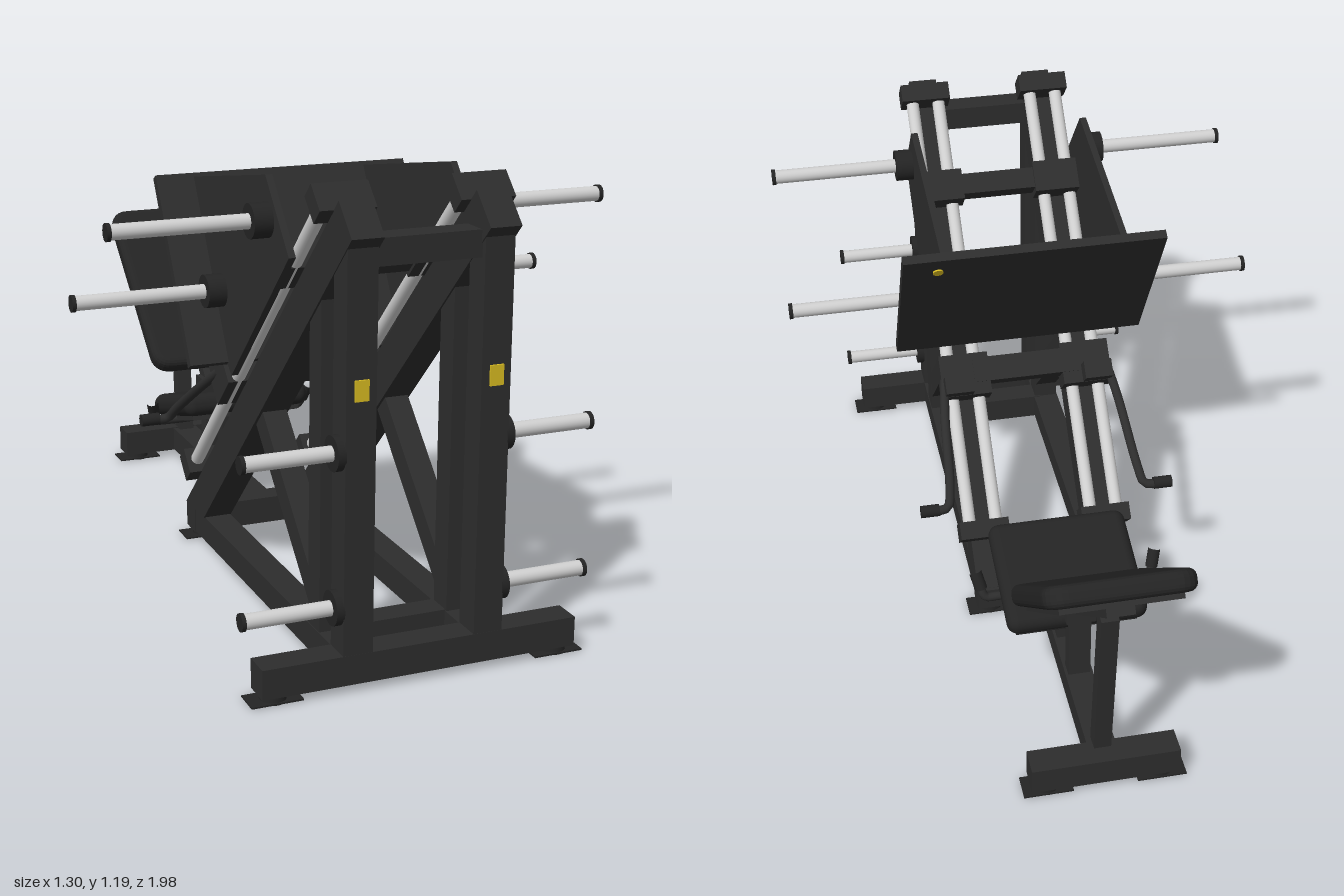
import * as THREE from 'three';
import { RoundedBoxGeometry } from 'three/addons/geometries/RoundedBoxGeometry.js';

const mat = (name, color) => {
  const m = new THREE.MeshStandardMaterial({ color });
  m.name = name;
  return m;
};

export function createModel() {
  const root = new THREE.Group();
  root.name = 'legPressMachine';
  const frame = mat('frameCharcoal', 0x2d2d2d);
  const dark = mat('paddingBlack', 0x242424);
  const chrome = mat('chromeSilver', 0xcfcfcf);
  const yellow = mat('labelYellow', 0xd9bc22);

  const add = (name, geo, m, x = 0, y = 0, z = 0, parent = root) => {
    const mesh = new THREE.Mesh(geo, m);
    mesh.name = name;
    mesh.position.set(x, y, z);
    parent.add(mesh);
    return mesh;
  };
  const box = (name, w, h, d, x, y, z, m = frame, parent = root) =>
    add(name, new THREE.BoxGeometry(w, h, d), m, x, y, z, parent);
  // Cylinder lying along x, from x0 to x1
  const rodX = (name, r, x0, x1, y, z, m) =>
    add(name, new THREE.CylinderGeometry(r, r, Math.abs(x1 - x0), 24).rotateZ(Math.PI / 2), m, (x0 + x1) / 2, y, z);
  // Straight beam in the side plane, between [z, y] points
  const beam = (name, w, t, a, b, x = 0, m = frame) => {
    const dz = b[0] - a[0], dy = b[1] - a[1];
    const mesh = box(name, w, t, Math.hypot(dz, dy), x, (a[1] + b[1]) / 2, (a[0] + b[0]) / 2, m);
    mesh.rotation.x = -Math.atan2(dy, dz);
    return mesh;
  };
  // Side profile of [z, y] points, extruded across x
  const profile = (name, pts, w, x, m = frame) => {
    const shape = new THREE.Shape(pts.map(p => new THREE.Vector2(p[0], p[1])));
    const geo = new THREE.ExtrudeGeometry(shape, { depth: w, bevelEnabled: false });
    geo.translate(0, 0, -w / 2).rotateY(-Math.PI / 2);
    return add(name, geo, m, x);
  };
  const tube = (name, pts, r, m = frame) => {
    const curve = new THREE.CatmullRomCurve3(pts.map(p => new THREE.Vector3(...p)), false, 'centripetal');
    return add(name, new THREE.TubeGeometry(curve, 28, r, 12), m);
  };
  // Chrome weight peg with collar and end cap
  const peg = (s, x0, xc, x1, y, z) => {
    rodX('pegCollar', 0.043, s * x0, s * xc, y, z, dark);
    rodX('weightPeg', 0.019, s * xc, s * (x1 - 0.01), y, z, chrome);
    rodX('pegCap', 0.022, s * (x1 - 0.01), s * x1, y, z, dark);
  };
  const foot = (x, z) => {
    add('foot', new THREE.CylinderGeometry(0.03, 0.034, 0.022, 20), dark, x, 0.011, z);
    box('footFlange', 0.13, 0.004, 0.07, x, 0.004, z, dark);
  };

  // Base frame
  box('frontBaseBar', 0.82, 0.075, 0.075, 0, 0.058, 0.928);
  box('innerBaseBar', 0.3, 0.075, 0.07, 0, 0.058, 0.775);
  box('middleBaseBar', 0.42, 0.075, 0.07, 0, 0.058, -0.12);
  box('rearBaseBar', 0.39, 0.075, 0.075, 0, 0.058, -0.832);
  box('centreBaseRail', 0.075, 0.07, 0.66, 0, 0.058, -0.475);
  box('topCrossBar', 0.28, 0.065, 0.07, 0, 1.05, 0.915);

  // Sloped frame: local z runs up the rails, local y away from them
  const slope = new THREE.Group();
  slope.name = 'slopedGuides';
  slope.rotation.x = -Math.PI / 4;
  root.add(slope);

  for (const s of [-1, 1]) {
    const x = s * 0.17;
    box('sideBaseRail', 0.075, 0.07, 1.0, x, 0.058, 0.4);
    profile('frontPost', [[0.89, 0.09], [0.965, 0.09], [0.965, 1.07], [0.89, 1.0]], 0.075, x);
    profile('innerPost', [[0.745, 0.03], [0.815, 0.03], [0.815, 0.93], [0.745, 0.86]], 0.07, x);
    profile('slopedRail', [[0.918, 1.167], [-0.16, 0.09], [-0.01, 0.09], [0.991, 1.093]], 0.08, x);
    beam('diagonalBrace', 0.065, 0.065, [0.765, 0.165], [0.39, 0.53], x);
    box('postLabel', 0.035, 0.05, 0.006, x, 0.74, 0.967, yellow);
    foot(s * 0.37, 0.928);
    foot(s * 0.17, -0.12);
    foot(s * 0.15, -0.832);
    for (const y of [0.205, 0.585]) peg(s, 0.205, 0.225, 0.45, y, 0.925);

    // Twin guide rods with end blocks and carriage bearings
    for (const off of [-0.038, 0.038]) {
      const rod = add('guideRod', new THREE.CylinderGeometry(0.018, 0.018, 1.29, 20), chrome,
        s * 0.175 + off, 0.215, 0.768, slope);
      rod.rotation.x = Math.PI / 2;
    }
    box('upperRodBlock', 0.14, 0.075, 0.05, s * 0.175, 0.212, 1.414, frame, slope);
    box('lowerRodBlock', 0.14, 0.075, 0.05, s * 0.175, 0.212, 0.121, frame, slope);
    box('upperBearing', 0.14, 0.075, 0.09, s * 0.175, 0.235, 1.121, frame, slope);
    box('lowerBearing', 0.14, 0.08, 0.12, s * 0.175, 0.238, 0.56, frame, slope);
    box('handleMount', 0.08, 0.06, 0.05, s * 0.2, 0.296, 0.526, frame, slope);

    // Carriage side plate, pegs and handle
    profile('carriageSidePlate', [[0.73, 1.0], [0.58, 1.17], [0.05, 1.075], [0.305, 0.64], [0.34, 0.61]], 0.018, s * 0.243);
    peg(s, 0.25, 0.3, 0.65, 1.065, 0.595);
    peg(s, 0.25, 0.3, 0.65, 0.82, 0.272);
    tube('carriageHandle', [[s * 0.235, 0.58, 0.2], [s * 0.25, 0.52, 0.11], [s * 0.268, 0.4, -0.07],
      [s * 0.28, 0.367, -0.105], [s * 0.31, 0.362, -0.11], [s * 0.35, 0.366, -0.11]], 0.013);
    rodX('carriageGrip', 0.017, s * 0.305, s * 0.357, 0.365, -0.11, dark);

    // Seat grab handle
    tube('seatHandle', [[0, 0.27, -0.375], [s * 0.19, 0.265, -0.38], [s * 0.225, 0.268, -0.38],
      [s * 0.237, 0.295, -0.37], [s * 0.246, 0.325, -0.358]], 0.012);
    tube('seatGrip', [[s * 0.235, 0.29, -0.372], [s * 0.247, 0.335, -0.352]], 0.017, dark);
  }

  // Carriage cross bars and foot plate
  box('upperCarriageBar', 0.3, 0.06, 0.06, 0, 0.235, 1.121, frame, slope);
  box('lowerCarriageBar', 0.3, 0.06, 0.07, 0, 0.25, 0.57, frame, slope);
  const plate = beam('footPlate', 0.71, 0.025, [0.31, 0.635], [0.047, 1.08]);
  add('footPlateLabel', new THREE.CylinderGeometry(0.014, 0.014, 0.006, 20), yellow, 0.26, 0.0135, 0.2, plate);

  // Seat
  const seat = add('seatPad', new RoundedBoxGeometry(0.38, 0.065, 0.335, 5, 0.03), dark, 0, 0.312, -0.37);
  seat.rotation.x = -0.28;
  const board = box('seatBoard', 0.33, 0.014, 0.29, 0, 0.274, -0.365);
  board.rotation.x = -0.28;
  box('seatFrontPost', 0.06, 0.18, 0.045, 0, 0.18, -0.37);
  box('seatRearPost', 0.06, 0.24, 0.042, 0, 0.21, -0.52);
  box('hingeBlock', 0.08, 0.05, 0.065, 0, 0.315, -0.525);

  // Backrest with rounded outline
  const w = 0.163, h = 0.28, r = 0.035;
  const outline = new THREE.Shape();
  outline.moveTo(-w + r, -h);
  outline.lineTo(w - r, -h).quadraticCurveTo(w, -h, w, -h + r);
  outline.lineTo(w, h - r).quadraticCurveTo(w, h, w - r, h);
  outline.lineTo(-w + r, h).quadraticCurveTo(-w, h, -w, h - r);
  outline.lineTo(-w, -h + r).quadraticCurveTo(-w, -h, -w + r, -h);
  const back = new THREE.Group();
  back.name = 'backrest';
  back.position.set(0, 0.575, -0.745);
  back.rotation.x = 0.705;
  root.add(back);
  const padGeo = new THREE.ExtrudeGeometry(outline, {
    depth: 0.016, bevelThickness: 0.02, bevelSize: 0.022, bevelSegments: 4, curveSegments: 6,
  });
  padGeo.translate(0, 0, -0.008).rotateX(-Math.PI / 2);
  add('backrestPad', padGeo, dark, 0, 0, 0, back);
  box('backrestBoard', 0.3, 0.014, 0.52, 0, -0.035, 0, frame, back);
  box('backrestSpine', 0.07, 0.03, 0.5, 0, -0.05, 0.02, frame, back);
  beam('backrestPost', 0.045, 0.045, [-0.795, 0.08], [-0.84, 0.57]);
  beam('backrestHinge', 0.05, 0.035, [-0.52, 0.32], [-0.58, 0.38]);

  return root;
}
